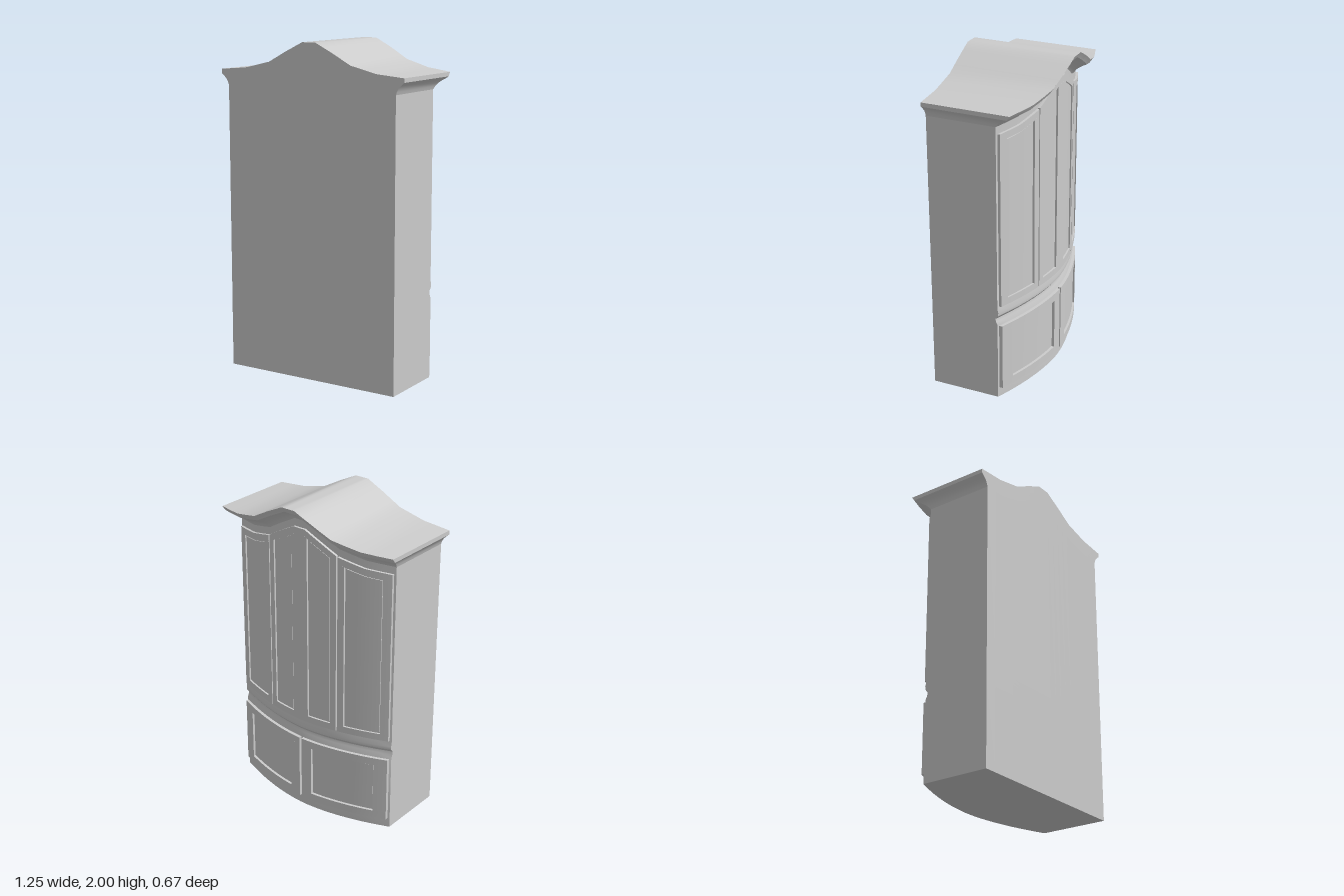
import * as THREE from 'three';
import { toCreasedNormals } from 'three/addons/utils/BufferGeometryUtils.js';

const HALF = 0.575, EAVE = 0.627, BACK = 0.333;
const mat = new THREE.MeshStandardMaterial({ color: 0xcccccc });

// bowed face (on the -z side) and the swan-shaped roof line
const bow = (t) => -0.228 + 0.135 * Math.pow(Math.abs(t), 1.8);
const KNOTS = [[0, 2], [0.045, 2], [0.16, 1.944], [0.28, 1.88], [0.45, 1.84], [EAVE, 1.825]];
function roof(x) {
  const a = Math.min(Math.abs(x), EAVE);
  let i = 1;
  while (i < KNOTS.length - 1 && a > KNOTS[i][0]) i++;
  const [x0, y0] = KNOTS[i - 1], [x1, y1] = KNOTS[i];
  return y0 + (y1 - y0) * (a - x0) / (x1 - x0);
}

// positions across the width, denser than the roof knots but including them
const ts = [];
for (let i = KNOTS.length - 1; i > 0; i--) {
  const a = KNOTS[i][0] / EAVE, b = KNOTS[i - 1][0] / EAVE;
  ts.push(-a, -(a + b) / 2);
}
const across = [...ts, 0, ...ts.map((t) => -t).reverse()];

// stack of bowed outlines: [side offset, front offset, y, y is measured from roof]
function loft(levels) {
  const n = across.length, pos = [], index = [];
  for (const [side, front, y, fromRoof] of levels) {
    const ring = (t, z) => pos.push(t * (HALF + side), fromRoof ? roof(t * EAVE) + y : y, z);
    across.forEach((t) => ring(t, bow(t) - front));
    [...across].reverse().forEach((t) => ring(t, BACK));
  }
  const m = 2 * n, last = (levels.length - 1) * m;
  const quad = (a, b, c, d) => index.push(a, b, c, a, c, d);
  for (let l = 0; l < levels.length - 1; l++) {
    for (let i = 0; i < m; i++) {
      const a = l * m + i, b = l * m + (i + 1) % m;
      quad(a, a + m, b + m, b);
    }
  }
  for (let i = 0; i < n - 1; i++) {
    const j = m - 1 - i;
    quad(i, i + 1, j - 1, j);                               // underside
    quad(last + i, last + j, last + j - 1, last + i + 1);   // top
  }
  const g = new THREE.BufferGeometry();
  g.setAttribute('position', new THREE.Float32BufferAttribute(pos, 3));
  g.setIndex(index);
  return toCreasedNormals(g, 0.5);
}

// curved board lying on the bowed face; yb and yt are functions of x
function board(x0, x1, yb, yt, d0, d1) {
  const g = new THREE.BoxGeometry(1, 1, 1, 12, 1, 1), p = g.attributes.position;
  for (let i = 0; i < p.count; i++) {
    const x = x0 + (x1 - x0) * (p.getX(i) + 0.5);
    const y = p.getY(i) < 0 ? yb(x) : yt(x);
    p.setXYZ(i, x, y, bow(x / HALF) - (p.getZ(i) < 0 ? d1 : d0));
  }
  return toCreasedNormals(g, 0.5);
}

function add(parent, name, geometry) {
  const mesh = new THREE.Mesh(geometry, mat);
  mesh.name = name;
  parent.add(mesh);
}

// framed door: rails and stiles around sunken panels given as [x0, x1]
function door(name, x0, x1, yb, yt, rail, panels, depth) {
  const g = new THREE.Group();
  g.name = name;
  const low = () => yb, high = yt;
  const inLow = () => yb + rail, inHigh = (x) => yt(x) - rail;
  add(g, 'bottomRail', board(x0, x1, low, inLow, -0.01, depth));
  add(g, 'topRail', board(x0, x1, inHigh, high, -0.01, depth));
  const edges = [x0, ...panels.flat(), x1];
  for (let i = 0; i < edges.length; i += 2) {
    add(g, 'stile', board(edges[i], edges[i + 1], inLow, inHigh, -0.01, depth));
  }
  for (const [a, b] of panels) {
    add(g, 'recess', board(a, b, inLow, inHigh, -0.01, 0.003));
    add(g, 'panel', board(a + 0.008, b - 0.008, () => yb + rail + 0.008,
      (x) => yt(x) - rail - 0.008, -0.01, 0.008));
  }
  return g;
}

export function createModel() {
  const model = new THREE.Group();
  model.name = 'cabinet';

  // carcass with a shallow moulding between the two tiers
  add(model, 'carcass', loft([
    [0, 0, 0], [0, 0, 0.495], [0, -0.01, 0.515], [0, -0.012, 0.535],
    [0, 0.004, 0.555], [0, 0.006, 0.575], [0, 0, 0.6], [0, 0, -0.095, true],
  ]));

  // flared cornice and roof slab
  add(model, 'cornice', loft([
    [0, 0, -0.095, true], [0.006, 0.012, -0.078, true], [0.015, 0.032, -0.06, true],
    [0.032, 0.064, -0.042, true], [0.044, 0.086, -0.032, true],
    [0.052, 0.09, -0.025, true], [0.052, 0.107, 0, true],
  ]));

  // doors
  const top = (x) => roof(x * EAVE / HALF) - 0.14;
  model.add(door('centreDoor', -0.247, 0.247, 0.615, top, 0.042,
    [[-0.21, -0.055], [0.055, 0.21]], 0.015));
  for (const s of [-1, 1]) {
    const span = (a, b) => (s > 0 ? [a, b] : [-b, -a]);
    const side = s > 0 ? 'left' : 'right';
    model.add(door(side + 'UpperDoor', ...span(0.255, 0.563), 0.615, top, 0.042,
      [span(0.295, 0.515)], 0.015));
    model.add(door(side + 'LowerDoor', ...span(0.008, 0.563), 0.062, () => 0.485, 0.048,
      [span(0.08, 0.485)], 0.02));
  }
  return model;
}
